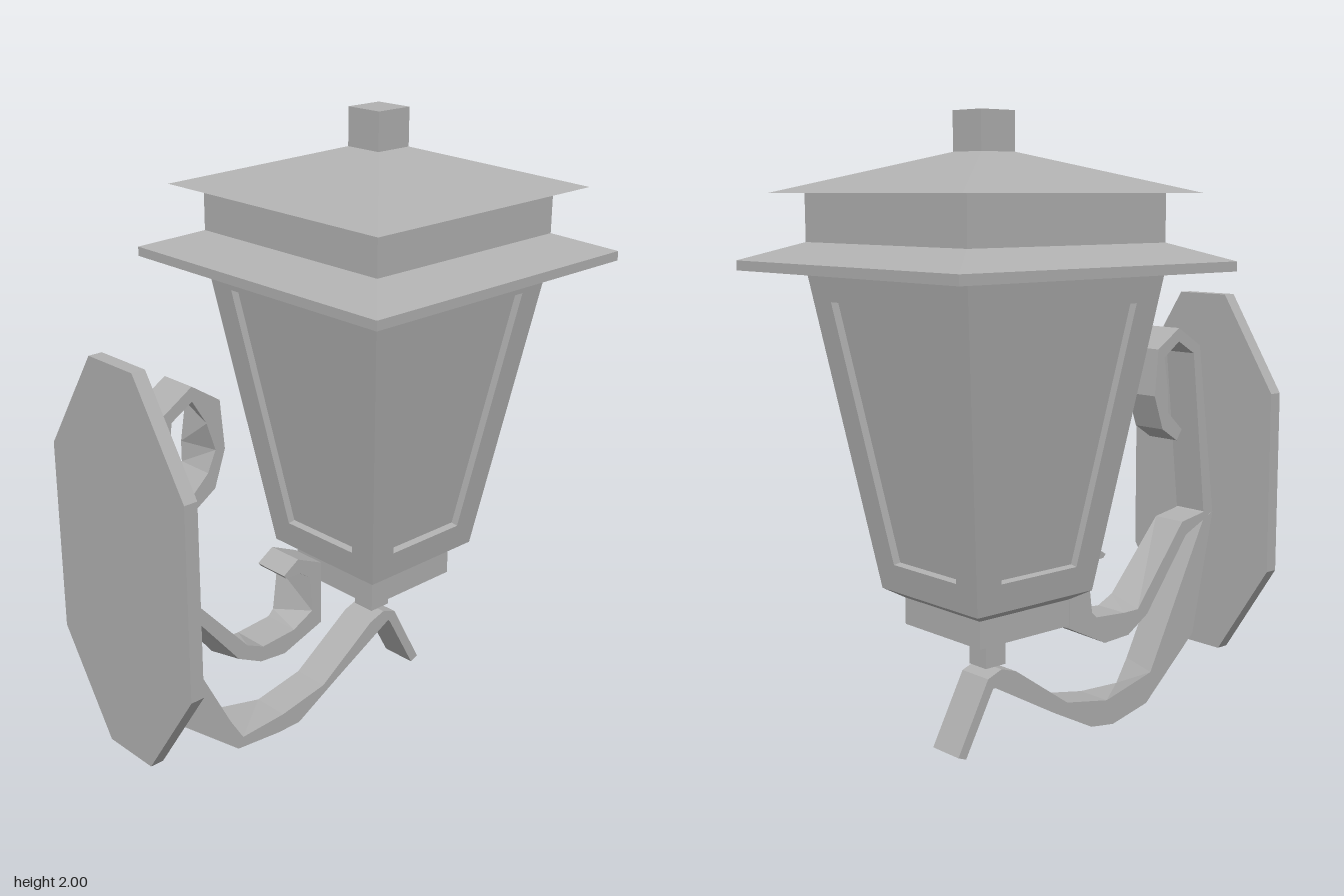
import * as THREE from 'three';

const metal = new THREE.MeshStandardMaterial({ color: 0xb0b0b0, side: THREE.DoubleSide });
metal.name = 'grey metal';

function part(geometry, name) {
  const geo = geometry.index ? geometry.toNonIndexed() : geometry;
  geo.computeVertexNormals();
  const mesh = new THREE.Mesh(geo, metal);
  mesh.name = name;
  return mesh;
}

// Square section that tapers from half-width h0 at y0 to h1 at y1
function squareTaper(name, y0, h0, y1, h1) {
  const geo = new THREE.CylinderGeometry(h1 * Math.SQRT2, h0 * Math.SQRT2, y1 - y0, 4, 1);
  geo.rotateY(Math.PI / 4);
  geo.translate(0, (y0 + y1) / 2, 0);
  return part(geo, name);
}

// Flat bar: each station is [outerX, outerY, innerX, innerY], plus optional
// [outerX, outerY, innerX, innerY] shifts of the rear edges
function scrollBar(name, stations) {
  const w = 0.062, pos = [], idx = [];
  for (const [ox, oy, ix, iy, d = [0, 0, 0, 0]] of stations) {
    pos.push(ox, oy, w, ix, iy, w);
    pos.push(ix + d[2], iy + d[3], -w, ox + d[0], oy + d[1], -w);
  }
  const last = (stations.length - 1) * 4;
  for (let i = 0; i < last; i += 4) {
    for (let k = 0; k < 4; k++) {
      const a = i + k, b = i + (k + 1) % 4;
      idx.push(a, b, b + 4, a, b + 4, a + 4);
    }
  }
  idx.push(0, 2, 1, 0, 3, 2, last, last + 1, last + 2, last, last + 2, last + 3);
  const geo = new THREE.BufferGeometry();
  geo.setAttribute('position', new THREE.Float32BufferAttribute(pos, 3));
  geo.setIndex(idx);
  return part(geo, name);
}

function trapezoid(PathType, y0, h0, y1, h1) {
  return new PathType([[-h0, y0], [h0, y0], [h1, y1], [-h1, y1]].map(p => new THREE.Vector2(...p)));
}

export function createModel() {
  const model = new THREE.Group();
  model.name = 'wallLantern';

  // Lantern stack
  const lantern = new THREE.Group();
  lantern.name = 'lantern';
  lantern.position.x = 0.245;
  model.add(lantern);
  const stack = [
    ['stem', 0.31, 0.04, 0.41, 0.04],
    ['lowerTaper', 0.4, 0.04, 0.435, 0.18],
    ['baseBlock', 0.435, 0.18, 0.52, 0.18],
    ['baseFlare', 0.52, 0.18, 0.55, 0.23],
    ['glassCore', 0.55, 0.205, 1.53, 0.355],
    ['eaveEdge', 1.53, 0.53, 1.56, 0.53],
    ['lowerRoof', 1.56, 0.53, 1.615, 0.38],
    ['collar', 1.615, 0.38, 1.76, 0.38],
    ['upperRoof', 1.76, 0.458, 1.88, 0.065],
    ['finial', 1.88, 0.065, 2, 0.065],
  ];
  for (const s of stack) lantern.add(squareTaper(...s));

  // Four sloped frames around the recessed panes
  const lean = Math.atan2(0.15, 0.98), c = Math.cos(lean);
  for (let i = 0; i < 4; i++) {
    const shape = trapezoid(THREE.Shape, 0, 0.23, 0.98 / c, 0.38);
    shape.holes.push(trapezoid(THREE.Path, 0.09 / c, 0.15, 0.89 / c, 0.275));
    const geo = new THREE.ExtrudeGeometry(shape, { depth: 0.025, bevelEnabled: false });
    geo.translate(0, 0, -0.025);
    geo.rotateX(lean);
    geo.translate(0, 0.55, 0.23);
    geo.rotateY(i * Math.PI / 2);
    lantern.add(part(geo, 'windowFrame'));
  }

  // Octagonal wall plate
  const plate = new THREE.Shape([
    [-0.1, 0.175], [0.1, 0.175], [0.31, 0.49], [0.31, 1.1],
    [0.1, 1.42], [-0.1, 1.42], [-0.31, 1.1], [-0.31, 0.49],
  ].map(p => new THREE.Vector2(...p)));
  const plateGeo = new THREE.ExtrudeGeometry(plate, { depth: 0.045, bevelEnabled: false });
  plateGeo.rotateY(Math.PI / 2);
  plateGeo.translate(-0.78, 0, 0);
  model.add(part(plateGeo, 'wallPlate'));

  // Supporting arm and two decorative scrolls
  model.add(scrollBar('supportArm', [
    [-0.735, 0.66, -0.69, 0.645],
    [-0.64, 0.24, -0.44, 0.165],
    [-0.41, 0.05, -0.39, 0.085, [0, -0.01, -0.04, 0.06]],
    [-0.24, 0.035, -0.22, 0.095, [-0.01, -0.03, 0, 0]],
    [-0.15, 0.035, -0.04, 0.13, [0, -0.015, 0, 0]],
    [0.02, 0.13, 0.18, 0.285, [0, -0.02, 0, 0]],
    [0.265, 0.262, 0.24, 0.305, [0, -0.012, 0, 0]],
    [0.275, 0.25, 0.295, 0.285],
    [0.385, 0.05, 0.415, 0.062],
  ]));
  model.add(scrollBar('lowerScroll', [
    [-0.735, 0.665, -0.72, 0.685],
    [-0.69, 0.64, -0.68, 0.665],
    [-0.6, 0.615, -0.58, 0.648, [0, -0.015, 0, 0]],
    [-0.4, 0.375, -0.365, 0.41, [-0.01, -0.02, 0, -0.03]],
    [-0.31, 0.33, -0.3, 0.38, [-0.01, -0.03, 0, 0]],
    [-0.21, 0.32, -0.17, 0.39, [0, -0.025, 0, 0]],
    [-0.05, 0.375, -0.09, 0.43, [0, 0, -0.06, -0.02]],
    [-0.05, 0.59, -0.1, 0.555, [0, 0, -0.03, 0.005]],
    [-0.15, 0.635, -0.14, 0.582],
    [-0.21, 0.597, -0.2, 0.585],
  ]));
  model.add(scrollBar('upperScroll', [
    [-0.735, 0.66, -0.69, 0.65],
    [-0.655, 1.25, -0.625, 1.225],
    [-0.55, 1.315, -0.55, 1.27],
    [-0.45, 1.25, -0.5, 1.19, [0, 0, 0.02, 0.03]],
    [-0.435, 1.095, -0.47, 1.1, [0, 0, -0.03, 0]],
    [-0.475, 0.98, -0.5, 1.035],
    [-0.545, 0.935, -0.57, 0.97],
  ]));
  return model;
}
